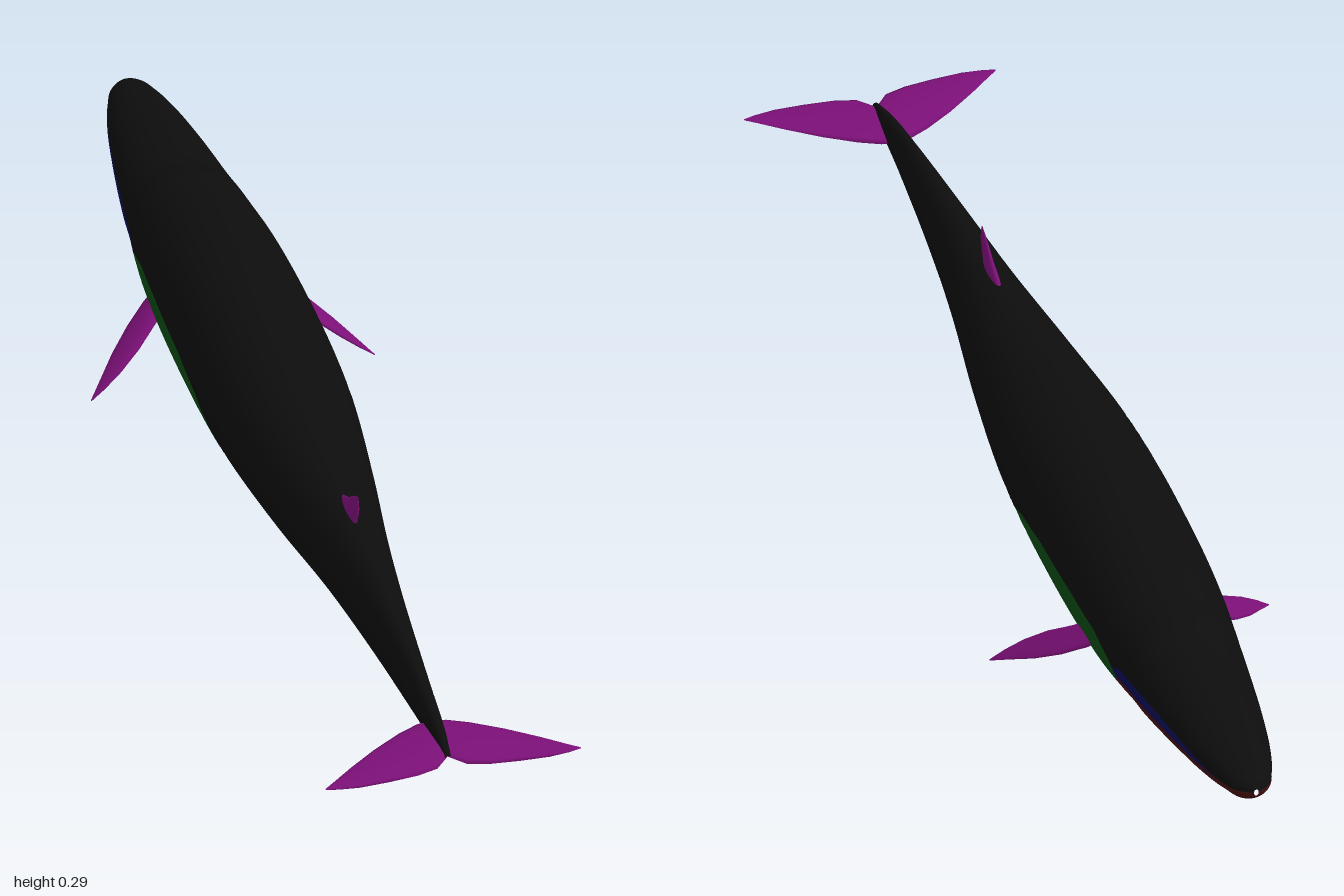
import * as THREE from 'three';

const mat = (name, color) => Object.assign(new THREE.MeshStandardMaterial({ color }), { name });

// Hull stations: z, top y, bottom y, half width (nose at -z, tail at +z)
const HULL = [
  [-1, 0.146, 0.134, 0.004], [-0.985, 0.157, 0.118, 0.026], [-0.95, 0.167, 0.107, 0.043],
  [-0.9, 0.176, 0.094, 0.058], [-0.8, 0.191, 0.073, 0.077], [-0.67, 0.208, 0.047, 0.095],
  [-0.62, 0.222, 0.038, 0.1], [-0.58, 0.227, 0.031, 0.105], [-0.5, 0.24, 0.02, 0.113],
  [-0.4, 0.252, 0.014, 0.118], [-0.25, 0.262, 0.012, 0.12], [-0.1, 0.26, 0.02, 0.118],
  [0, 0.254, 0.03, 0.112], [0.2, 0.239, 0.051, 0.088], [0.4, 0.231, 0.075, 0.058],
  [0.6, 0.221, 0.096, 0.035], [0.8, 0.198, 0.118, 0.018], [0.9, 0.176, 0.133, 0.012],
  [0.96, 0.155, 0.146, 0.005],
];
const hull = new THREE.CubicInterpolant(HULL.map(h => h[0]), HULL.flatMap(h => h.slice(1)), 3, new Float32Array(3));

// Upper edges of the colour regions as [z, y], stacked from the keel upwards
const EDGES = [
  [[-1, 0.14], [-0.9, 0.133], [-0.8, 0.125], [-0.7, 0.118], [-0.58, 0.105], [-0.53, 0.03], [-0.52, 0]],
  [[-0.56, 0.075], [-0.5, 0.085], [-0.25, 0.085], [-0.2, 0.075], [-0.16, 0.05], [-0.145, 0]],
  [[-0.58, 0.105], [-0.56, 0.125], [-0.5, 0.143], [-0.4, 0.147], [-0.25, 0.145], [-0.15, 0.132],
    [-0.09, 0.11], [-0.05, 0.07], [-0.03, 0.02], [-0.02, 0]],
  [[-0.95, 0.136], [-0.8, 0.14], [-0.7, 0.138], [-0.6, 0.132], [-0.57, 0.115], [-0.56, 0]],
];

function lerpKeys(keys, z) {
  if (z <= keys[0][0]) return keys[0][1];
  for (let i = 1; i < keys.length; i++) {
    const [z0, y0] = keys[i - 1], [z1, y1] = keys[i];
    if (z <= z1) return y0 + (y1 - y0) * (z - z0) / (z1 - z0);
  }
  return 0;
}

// Point on the hull; angle 0 is the keel, PI the back
function hullPoint(angle, z, side) {
  const [top, bottom, w] = hull.evaluate(z);
  return new THREE.Vector3(side * w * Math.sin(angle), (top + bottom) / 2 - (top - bottom) / 2 * Math.cos(angle), z);
}

function edgeAngles(z) {
  const [top, bottom] = hull.evaluate(z);
  const mid = (top + bottom) / 2, h = (top - bottom) / 2;
  const angles = [0];
  for (const keys of EDGES) {
    const a = Math.acos(THREE.MathUtils.clamp((mid - lerpKeys(keys, z)) / h, -1, 1));
    angles.push(Math.max(a, angles[angles.length - 1]));
  }
  return [...angles, Math.PI];
}

// One colour region of the hull, on both sides, with exact smooth normals
function hullBand(k, segs) {
  const rows = 240, pos = [], nor = [], index = [], e = 0.002;
  for (const side of [1, -1]) {
    const base = pos.length / 3, widths = [];
    for (let i = 0; i <= rows; i++) {
      const z = -1 + 1.96 * Math.pow(i / rows, 1.25);
      const angles = edgeAngles(z), lo = angles[k], hi = angles[k + 1];
      widths.push(hi - lo);
      for (let j = 0; j <= segs; j++) {
        const a = lo + (hi - lo) * j / segs;
        const da = hullPoint(a + e, z, side).sub(hullPoint(a - e, z, side));
        const dz = hullPoint(a, Math.min(z + e, 0.96), side).sub(hullPoint(a, Math.max(z - e, -1), side));
        pos.push(...hullPoint(a, z, side).toArray());
        nor.push(...da.cross(dz).multiplyScalar(side).normalize().toArray());
      }
    }
    for (let i = 0; i < rows; i++) {
      if (widths[i] + widths[i + 1] < 1e-4) continue;
      for (let j = 0; j < segs; j++) {
        const a = base + i * (segs + 1) + j, b = a + 1, c = a + segs + 1, d = c + 1;
        index.push(...(side > 0 ? [a, b, c, b, d, c] : [a, c, b, b, c, d]));
      }
    }
  }
  const g = new THREE.BufferGeometry();
  g.setAttribute('position', new THREE.Float32BufferAttribute(pos, 3));
  g.setAttribute('normal', new THREE.Float32BufferAttribute(nor, 3));
  g.setIndex(index);
  return g;
}

// Lens-section fin; stations are [x, y, leading z, trailing z, half thickness]
function fin(stations, normal, side = 1) {
  const n = 12, pos = [], index = [];
  for (const [x, y, z0, z1, t] of stations) {
    for (let i = 0; i < n; i++) {
      const a = i / n * Math.PI * 2, s = Math.sin(a) * t;
      pos.push(side * (x + normal[0] * s), y + normal[1] * s, z0 + (z1 - z0) * (1 - Math.cos(a)) / 2);
    }
  }
  const tri = (a, b, c) => index.push(...(side > 0 ? [a, b, c] : [a, c, b]));
  for (let r = 0; r < stations.length - 1; r++) {
    for (let i = 0; i < n; i++) {
      const a = r * n + i, b = r * n + (i + 1) % n;
      tri(a, b, a + n);
      tri(b, b + n, a + n);
    }
  }
  const g = new THREE.BufferGeometry();
  g.setAttribute('position', new THREE.Float32BufferAttribute(pos, 3));
  g.setIndex(index);
  g.computeVertexNormals();
  return g;
}

export function createModel() {
  const model = new THREE.Group();
  model.name = 'whale';
  const black = mat('skin black', 0x0d0d0d);
  const finPurple = mat('fin purple', 0x7c1078);
  finPurple.side = THREE.DoubleSide;
  const add = (name, geometry, material) => {
    const mesh = new THREE.Mesh(geometry, material);
    mesh.name = name;
    model.add(mesh);
  };

  // Hull, split into its colour regions
  add('lowerJaw', hullBand(0, 8), mat('jaw dark red', 0x461010));
  add('bellyCentre', hullBand(1, 6), mat('belly green', 0x0e8418));
  add('bellyBorder', hullBand(2, 6), mat('border dark green', 0x0c4a12));
  add('mouthLine', hullBand(3, 2), mat('mouth blue', 0x0c0c58));
  add('back', hullBand(4, 12), black);

  // Flippers and tail flukes
  for (const side of [1, -1]) {
    const label = side > 0 ? 'left' : 'right';
    add(label + 'Flipper', fin([
      [0.085, 0.11, -0.485, -0.43, 0.01], [0.115, 0.089, -0.472, -0.408, 0.009],
      [0.15, 0.065, -0.447, -0.378, 0.007], [0.185, 0.041, -0.413, -0.358, 0.005],
      [0.215, 0.02, -0.376, -0.348, 0.003], [0.239, 0.003, -0.347, -0.344, 0.0005],
    ], [0.57, 0.82], side), finPurple);
    add(label + 'Fluke', fin([
      [0, 0.15, 0.85, 0.955, 0.008], [0.025, 0.15, 0.856, 0.983, 0.008],
      [0.06, 0.15, 0.873, 0.993, 0.007], [0.11, 0.15, 0.905, 0.998, 0.006],
      [0.16, 0.15, 0.943, 1, 0.0035], [0.195, 0.15, 0.972, 0.996, 0.002],
      [0.215, 0.15, 0.988, 0.991, 0.0005],
    ], [0, 1], side), finPurple);
  }

  // Small hooked fin on the back
  add('dorsalFin', fin([
    [0, 0.222, 0.3, 0.4, 0.008], [0, 0.236, 0.325, 0.402, 0.007], [0, 0.25, 0.352, 0.41, 0.0055],
    [0, 0.268, 0.376, 0.416, 0.004], [0, 0.282, 0.394, 0.416, 0.002], [0, 0.291, 0.409, 0.413, 0.0005],
  ], [-1, 0]), finPurple);
  return model;
}
